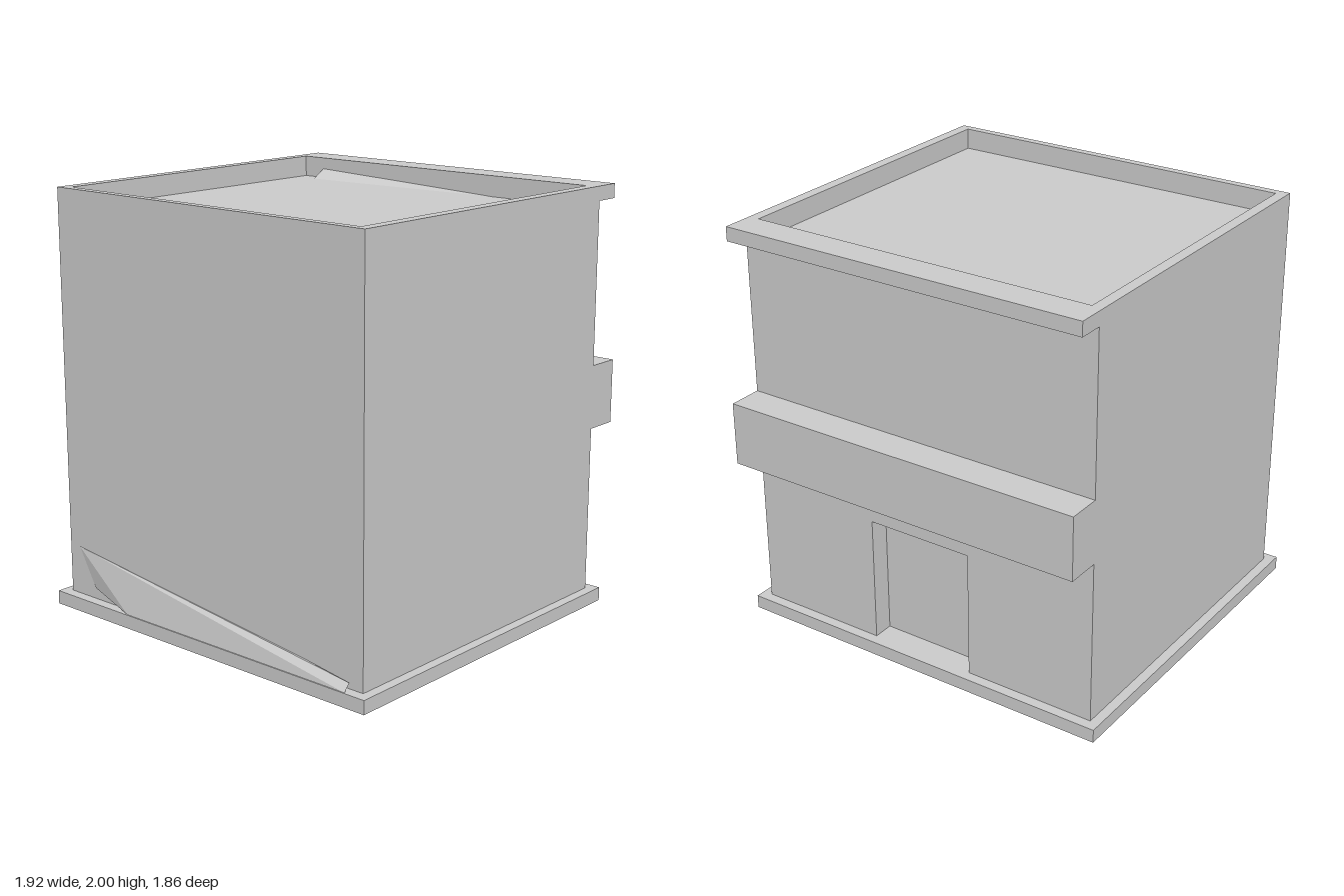
import * as THREE from 'three';

const W = 0.913, ZF = 0.88, ZB = -0.763;       // outer wall limits
const BASE = 0.065, DECK = 1.9, TOP = 2;       // main levels
const DOOR = 0.265, DOOR_TOP = 0.68, DEPTH = 0.1;

export function createModel() {
  const group = new THREE.Group();
  const solid = new THREE.MeshStandardMaterial({ color: 0xcccccc, flatShading: true });
  const thin = solid.clone();
  thin.side = THREE.DoubleSide;

  function add(name, geometry, material = solid) {
    const mesh = new THREE.Mesh(geometry, material);
    mesh.name = name;
    group.add(mesh);
    return mesh;
  }
  // Box given by its lower and upper corners
  function block(name, [x0, y0, z0], [x1, y1, z1]) {
    add(name, new THREE.BoxGeometry(x1 - x0, y1 - y0, z1 - z0))
      .position.set((x0 + x1) / 2, (y0 + y1) / 2, (z0 + z1) / 2);
  }
  // Convex flat panel, corners counter-clockwise as seen from outside
  function panel(name, corners, material = solid) {
    const pos = [];
    for (let i = 1; i < corners.length - 1; i++) pos.push(...corners[0], ...corners[i], ...corners[i + 1]);
    const g = new THREE.BufferGeometry();
    g.setAttribute('position', new THREE.Float32BufferAttribute(pos, 3));
    g.computeVertexNormals();
    add(name, g, material);
  }
  const rect = (x0, y0, x1, y1) => [[x0, y0], [x1, y0], [x1, y1], [x0, y1]].map(p => new THREE.Vector2(...p));

  // Foundation slab
  block('foundation', [-0.96, 0, -0.813], [0.96, BASE, 0.93]);

  // Plain front and side walls
  panel('frontWall', [[-W, BASE, ZF], [W, BASE, ZF], [W, DECK, ZF], [-W, DECK, ZF]]);
  panel('leftWall', [[W, BASE, ZF], [W, BASE, ZB], [W, DECK, ZB], [W, DECK, ZF]]);
  panel('rightWall', [[-W, BASE, ZB], [-W, BASE, ZF], [-W, DECK, ZF], [-W, DECK, ZB]]);

  // Entrance wall with a doorway notch
  const wall = new THREE.Shape([
    [-W, BASE], [-DOOR, BASE], [-DOOR, DOOR_TOP], [DOOR, DOOR_TOP], [DOOR, BASE], [W, BASE], [W, DECK], [-W, DECK],
  ].map(p => new THREE.Vector2(...p)));
  add('entranceWall', new THREE.ShapeGeometry(wall).rotateY(Math.PI).translate(0, 0, ZB));

  // Recessed door and its reveals
  const zd = ZB + DEPTH;
  panel('door', [[DOOR, BASE, zd], [-DOOR, BASE, zd], [-DOOR, DOOR_TOP, zd], [DOOR, DOOR_TOP, zd]]);
  panel('doorLintel', [[-DOOR, DOOR_TOP, ZB], [DOOR, DOOR_TOP, ZB], [DOOR, DOOR_TOP, zd], [-DOOR, DOOR_TOP, zd]]);
  for (const s of [-1, 1]) {
    const x = s * DOOR;
    panel('doorJamb', [[x, BASE, ZB], [x, BASE, zd], [x, DOOR_TOP, zd], [x, DOOR_TOP, ZB]], thin);
  }
  panel('doorSill', [[DOOR, BASE, ZB], [-DOOR, BASE, ZB], [-DOOR, BASE, zd], [DOOR, BASE, zd]], thin);

  // Flat roof inside a parapet
  panel('roofDeck', [[-0.86, DECK, 0.84], [0.86, DECK, 0.84], [0.86, DECK, -0.733], [-0.86, DECK, -0.733]]);
  const rim = new THREE.Shape(rect(-W, -ZF, W, -ZB));
  rim.holes.push(new THREE.Path(rect(-0.86, -0.84, 0.86, 0.733)));
  add('parapet', new THREE.ExtrudeGeometry(rim, { depth: TOP - DECK, bevelEnabled: false })
    .rotateX(-Math.PI / 2).translate(0, DECK, 0));

  // Projecting ledges over the entrance
  block('cornice', [-W, 1.932, -0.885], [W, TOP, ZB]);
  block('signBand', [-W, 0.858, -0.928], [W, 1.163, ZB]);

  // Sloping drifts at the wall foot, in the roof corner and below the cornice
  const tip = [-0.85, 0.3, ZF], toe = [-0.48, BASE, 0.925];
  panel('frontDrift', [tip, toe, [0.85, BASE, 0.925], [0.85, 0.1, 0.895], [0.59, 0.13, 0.882]], thin);
  panel('frontDriftEnd', [tip, [-0.74, 0.12, 0.885], toe], thin);
  panel('roofDrift', [[-0.74, 1.945, -0.732], [-0.74, 1.901, -0.66], [0.33, 1.901, -0.73]], thin);
  panel('corniceDrift', [[-0.85, 1.915, ZB - 0.002], [0.85, 1.915, ZB - 0.002], [0.85, 1.931, -0.83], [-0.85, 1.931, -0.83]], thin);

  return group;
}
